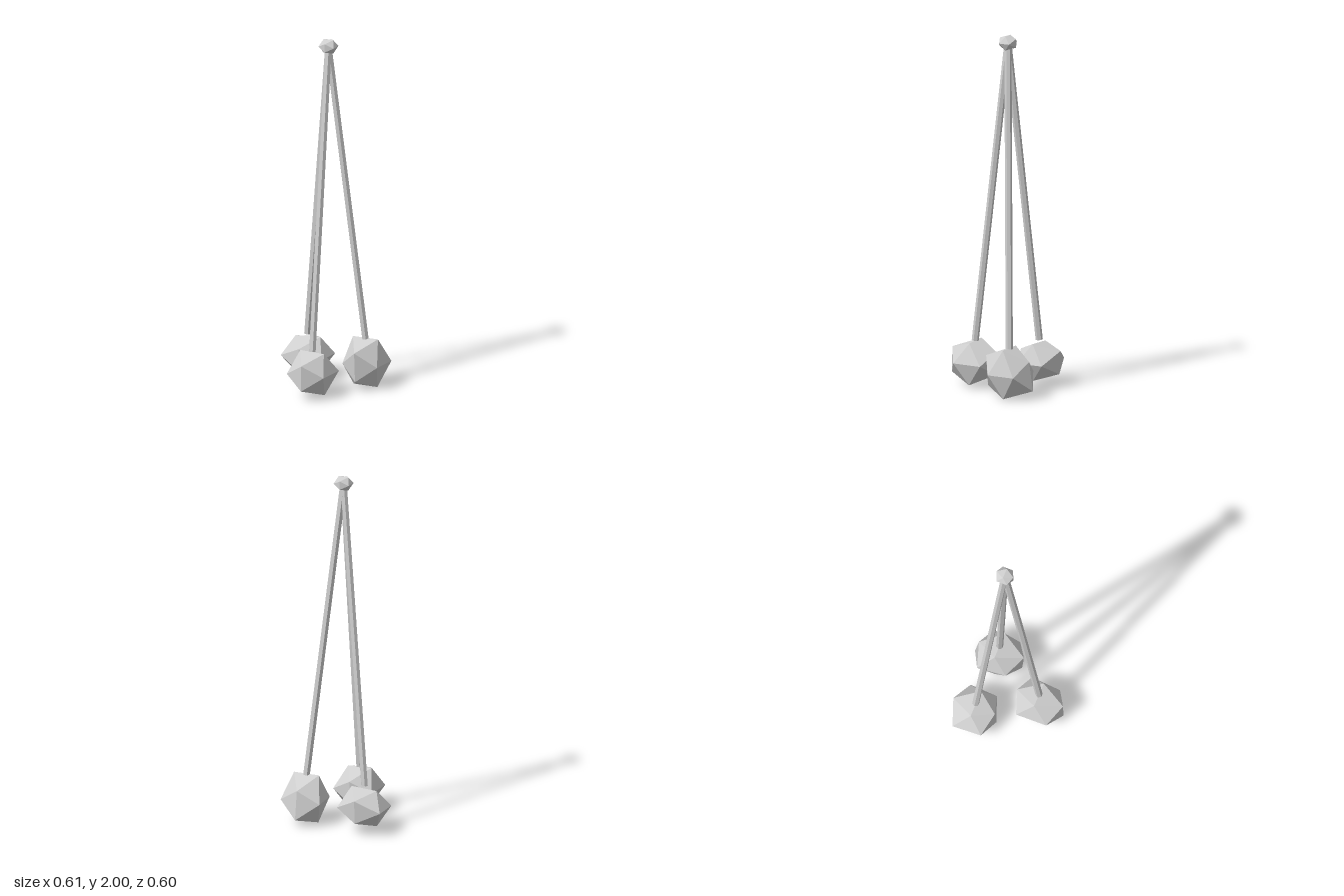
import * as THREE from 'three';
import { ConvexGeometry } from 'three/addons/geometries/ConvexGeometry.js';

const T = (1 + Math.sqrt(5)) / 2;

// Corners of an icosahedron, in the order the roughness factors use
const CORNERS = [];
for (const y of [T, -T]) for (const x of [-1, 1]) CORNERS.push([x, y, 0]); // top pair, bottom pair
for (const z of [T, -T]) for (const y of [1, -1]) CORNERS.push([0, y, z]); // front pair, back pair
for (const x of [T, -T]) for (const z of [1, -1]) CORNERS.push([x, 0, z]); // left pair, right pair

// Rough stone: stretched icosahedron with each corner pushed in or out
function stone(name, material, center, size, rough = []) {
  const points = CORNERS.map((c, i) =>
    new THREE.Vector3(...c.map((v, k) => v * size[k] * (rough[i] ?? 1))));
  const mesh = new THREE.Mesh(new ConvexGeometry(points), material);
  mesh.name = name;
  mesh.position.set(...center);
  return mesh;
}

// Six-sided cord running between two points
function cord(name, material, from, to) {
  const a = new THREE.Vector3(...from), b = new THREE.Vector3(...to);
  const dir = a.clone().sub(b);
  const geometry = new THREE.CylinderGeometry(0.02, 0.02, dir.length(), 6, 1, false, Math.PI / 6);
  const mesh = new THREE.Mesh(geometry, material);
  mesh.name = name;
  mesh.position.copy(a).add(b).multiplyScalar(0.5);
  mesh.quaternion.setFromUnitVectors(new THREE.Vector3(0, 1, 0), dir.normalize());
  return mesh;
}

export function createModel() {
  const group = new THREE.Group();
  group.name = 'throwingWeights';
  const grey = new THREE.MeshStandardMaterial({ color: 0xd0d0d0, flatShading: true });
  grey.name = 'stoneGrey';

  // Knot where the cords meet
  const knot = [0.009, 1.961, -0.051];
  group.add(stone('knot', grey, knot, [0.029, 0.024, 0.031]));

  // Three weights, each hung on a cord
  const weights = [
    { side: 'front', center: [0.009, 0.135, 0.153], size: [0.0725, 0.0725, 0.09], cordEnd: 0.255,
      rough: [1.02, 0.97, 0.86, 1.04, 0.98, 1, 0.9, 0.89, 0.91, 1.01, 0.98, 1] },
    { side: 'right', center: [-0.169, 0.135, -0.153], size: [0.078, 0.066, 0.08], cordEnd: 0.255,
      rough: [0.94, 1.02, 0.97, 0.94, 0.88, 0.95, 1.03, 0.97, 0.97, 1.03, 1, 1.06] },
    { side: 'left', center: [0.187, 0.135, -0.153], size: [0.073, 0.083, 0.085], cordEnd: 0.27,
      rough: [1.05, 1.05, 0.99, 1, 1.05, 0.97, 0.9, 1.07, 0.92, 1, 0.89, 1.02] },
  ];
  for (const { side, center, size, rough, cordEnd } of weights) {
    group.add(stone(side + 'Weight', grey, center, size, rough));
    group.add(cord(side + 'Cord', grey, knot, [center[0], cordEnd, center[2]]));
  }
  return group;
}
